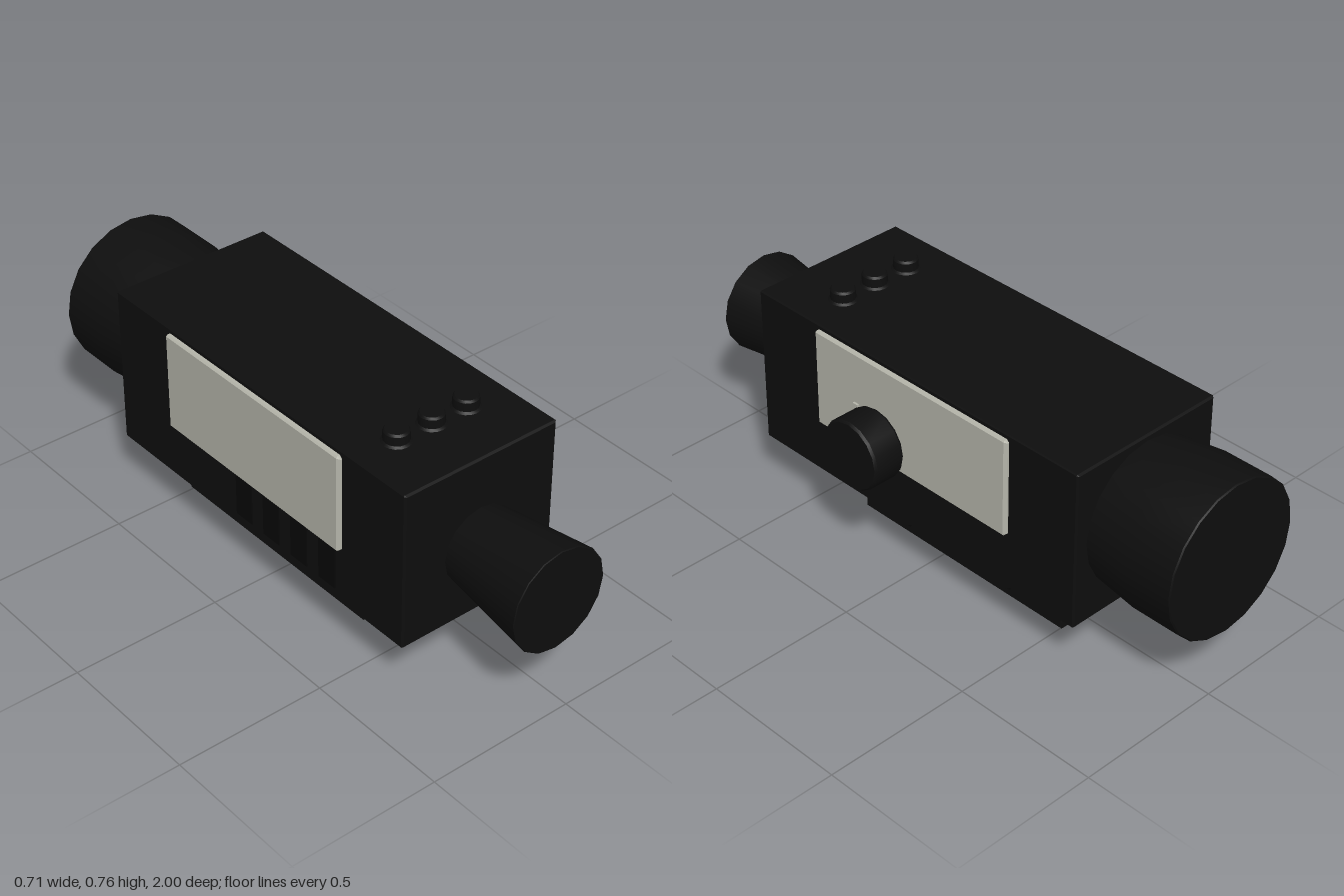
import * as THREE from 'three';
import { toCreasedNormals } from 'three/addons/utils/BufferGeometryUtils.js';

const AXIS_X = -0.057; // optical axis offset

export function createModel() {
  const group = new THREE.Group();
  const black = new THREE.MeshStandardMaterial({ color: 0x0e0e0e });
  black.name = 'black housing';
  const panel = new THREE.MeshStandardMaterial({ color: 0xb5b5aa });
  panel.name = 'pale grey panel';
  const vent = new THREE.MeshStandardMaterial({ color: 0x070707 });
  vent.name = 'deep black vent';

  const add = (name, geometry, material, x, y, z) => {
    const mesh = new THREE.Mesh(geometry, material);
    mesh.name = name;
    mesh.position.set(x, y, z);
    group.add(mesh);
    return mesh;
  };

  // Extruded outline with chamfered ends, running along z and centred on it
  const extrude = (points, length, chamfer) => {
    const shape = new THREE.Shape(points.map(([x, y]) => new THREE.Vector2(x, y)));
    const g = new THREE.ExtrudeGeometry(shape, {
      depth: length - 2 * chamfer, bevelEnabled: chamfer > 0, bevelThickness: chamfer,
      bevelSize: chamfer, bevelOffset: -chamfer, bevelSegments: 1,
    });
    return g.translate(0, 0, chamfer - length / 2);
  };

  // Box given by its limits, with chamfered edges
  const block = (name, material, x0, x1, y0, y1, z0, z1, c) => {
    const w = (x1 - x0) / 2, h = (y1 - y0) / 2;
    const k = c * 0.6;
    const outline = [[-w + k, -h], [w - k, -h], [w, -h + k], [w, h - k],
      [w - k, h], [-w + k, h], [-w, h - k], [-w, -h + k]];
    return add(name, extrude(outline, z1 - z0, c), material, (x0 + x1) / 2, (y0 + y1) / 2, (z0 + z1) / 2);
  };

  // Turned part from [radius, height] pairs, listed bottom to top
  const turned = (profile, sides) => toCreasedNormals(
    new THREE.LatheGeometry(profile.map(([r, h]) => new THREE.Vector2(r, h)), sides), 0.5);

  // Main housing
  block('housing', black, -0.34, 0.225, 0.175, 0.715, -0.672, 0.675, 0.006);

  // Flared eyepiece at the front
  add('eyepiece', turned([[0, 0], [0.128, 0], [0.171, 0.338], [0.168, 0.34], [0, 0.34]], 16)
    .rotateX(Math.PI / 2), black, AXIS_X, 0.413, 0.66);

  // Objective barrel at the back
  add('objective', turned([[0, 0], [0.237, 0], [0.258, 0.17], [0.258, 0.336], [0.254, 0.34], [0, 0.34]], 20)
    .rotateX(-Math.PI / 2), black, AXIS_X, 0.457, -0.66);

  // Pale side panels
  block('leftPanel', panel, 0.215, 0.239, 0.365, 0.7, -0.406, 0.408, 0.009);
  block('rightPanel', panel, -0.355, -0.33, 0.365, 0.7, -0.406, 0.408, 0.009);

  // Vent strips below the right panel
  for (let i = 0; i < 4; i++) {
    add('ventStrip', new THREE.BoxGeometry(0.006, 0.165, 0.075), vent, -0.34, 0.293, -0.05 + i * 0.13);
  }

  // Side knob with its small index mark
  add('knob', turned([[0, 0], [0.109, 0], [0.117, 0.012], [0.117, 0.109], [0.111, 0.117], [0, 0.117]], 16)
    .rotateZ(-Math.PI / 2), black, 0.235, 0.433, 0.133);
  add('knobMark', new THREE.BoxGeometry(0.009, 0.04, 0.02), panel, 0.242, 0.506, 0.222);

  // Top buttons
  const button = turned([[0.047, 0], [0.047, 0.01], [0.04, 0.016], [0.04, 0.045], [0.035, 0.052], [0, 0.052]], 16);
  for (const dx of [-0.13, 0, 0.13]) add('button', button, black, AXIS_X + dx, 0.705, 0.46);

  // Mounting rail with two gripping jaws
  const rail = [[-0.207, 0], [-0.183, 0], [-0.177, 0.007], [-0.177, 0.038], [-0.168, 0.045],
    [0.055, 0.045], [0.061, 0.038], [0.061, 0.007], [0.068, 0], [0.092, 0], [0.098, 0.007],
    [0.098, 0.045], [0.086, 0.06], [0.086, 0.115], [0.076, 0.13], [-0.192, 0.13],
    [-0.197, 0.125], [-0.197, 0.07], [-0.213, 0.06], [-0.213, 0.007]];
  add('mountRail', extrude(rail, 0.857, 0.003), black, 0, 0, -0.0775);

  // Clamp screws
  const screw = turned([[0, 0], [0.034, 0], [0.034, 0.04], [0.028, 0.046], [0, 0.046]], 12)
    .rotateZ(-Math.PI / 2);
  for (const z of [0.14, -0.295]) add('clampScrew', screw, black, 0.08, 0.083, z);

  return group;
}
